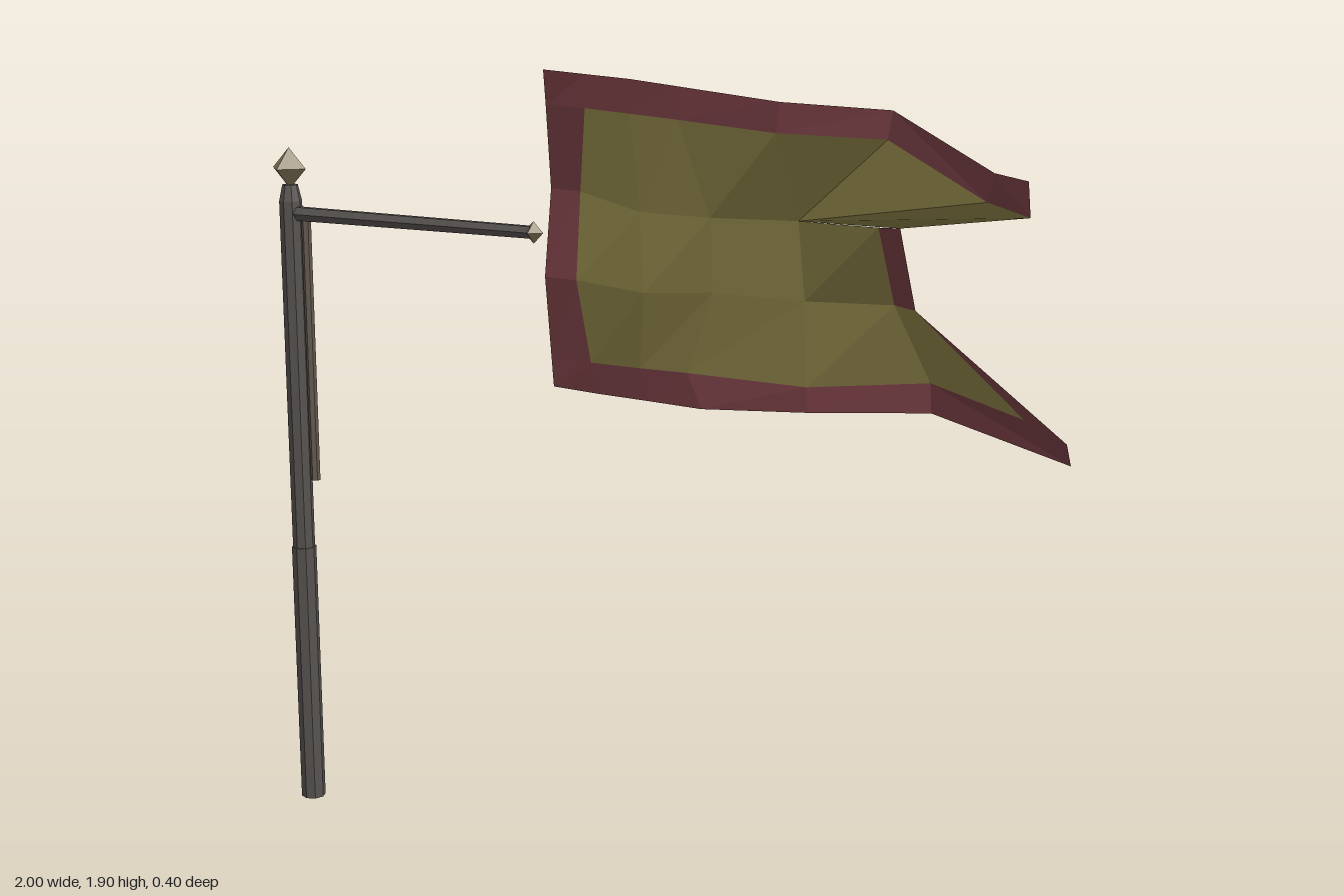
import * as THREE from 'three';

// Cloth lattice: six rows from top to bottom, six columns from pole side to fly end
const ROWS = [
  [[-0.22, 1.9, 0], [-0.1, 1.895, 0.02], [0.03, 1.89, 0.045], [0.17, 1.88, 0.072], [0.42, 1.86, 0.104], [0.66, 1.85, 0.07]],
  [[-0.22, 1.82, -0.01], [-0.1, 1.82, 0.02], [0.03, 1.815, 0.045], [0.16, 1.81, 0.072], [0.41, 1.795, 0.1], [0.65, 1.79, 0.07]],
  [[-0.22, 1.63, -0.03], [-0.13, 1.63, -0.01], [0.05, 1.6, 0.035], [0.23, 1.6, 0.045], [0.42, 1.6, 0], [0.61, 1.6, 0.01]],
  [[-0.22, 1.43, 0], [-0.13, 1.43, 0.01], [0.06, 1.42, 0.035], [0.22, 1.43, 0.01], [0.42, 1.42, -0.04], [0.61, 1.42, -0.09]],
  [[-0.22, 1.24, -0.025], [-0.11, 1.235, -0.02], [0.02, 1.235, -0.02], [0.14, 1.235, -0.025], [0.41, 1.22, -0.08], [0.66, 1.235, -0.19]],
  [[-0.22, 1.165, -0.035], [-0.1, 1.16, -0.035], [0.03, 1.157, -0.035], [0.17, 1.153, -0.035], [0.41, 1.16, -0.09], [0.66, 1.165, -0.2]],
];

// Notch corners and swallowtail tips
const NOTCH_TOP = [0.655, 1.6, 0], NOTCH_LOW = [0.655, 1.41, -0.1];
const UP_SHOULDER = [0.93, 1.75, 0.2], UP_INNER = [0.91, 1.69, 0.18];
const UP_TIP = [1, 1.738, 0.2], UP_TIP_LOW = [1, 1.665, 0.18];
const LOW_INNER = [0.9, 1.19, -0.13], LOW_TIP = [1, 1.15, -0.12], LOW_TIP_END = [1, 1.095, -0.155];

function paint(color, side = THREE.FrontSide) {
  return new THREE.MeshStandardMaterial({ color, flatShading: true, side });
}

// Faceted sheet from polygons, each fanned from its first corner
function sheet(name, polygons, material) {
  const pos = [];
  for (const p of polygons)
    for (let i = 1; i < p.length - 1; i++) pos.push(...p[0], ...p[i], ...p[i + 1]);
  const g = new THREE.BufferGeometry();
  g.setAttribute('position', new THREE.Float32BufferAttribute(pos, 3));
  g.computeVertexNormals();
  const mesh = new THREE.Mesh(g, material);
  mesh.name = name;
  return mesh;
}

function createFlag() {
  const field = [], border = [];
  for (let r = 0; r < 5; r++)
    for (let c = 0; c < 5; c++) {
      const a = ROWS[r][c], b = ROWS[r + 1][c], d = ROWS[r + 1][c + 1], e = ROWS[r][c + 1];
      if (r === 1 && c === 4) field.push([a, b, e]); // the upper tail folds out of this cell
      else (r === 0 || r === 4 || c === 0 ? border : field).push([e, a, b, d]);
    }
  const [top, innerTop, upper, lower, innerLow, bottom] = ROWS.map((row) => row[5]);
  const fold = ROWS[2][4];

  // Upper tail, with its underside folded back to the notch
  field.push([fold, UP_INNER, innerTop], [fold, NOTCH_TOP, UP_TIP_LOW, UP_INNER]);
  border.push([top, innerTop, UP_INNER, UP_SHOULDER], [UP_SHOULDER, UP_INNER, UP_TIP_LOW, UP_TIP]);
  // Lower tail
  field.push([lower, innerLow, NOTCH_LOW], [NOTCH_LOW, innerLow, LOW_INNER]);
  border.push([NOTCH_LOW, LOW_INNER, LOW_TIP], [innerLow, bottom, LOW_TIP_END, LOW_INNER], [LOW_INNER, LOW_TIP_END, LOW_TIP]);
  // Hem of the notch
  border.push([upper, lower, NOTCH_LOW, NOTCH_TOP]);

  const flag = new THREE.Group();
  flag.name = 'flag';
  flag.add(
    sheet('flagField', field, paint(0x8f8449, THREE.DoubleSide)),
    sheet('flagBorder', border, paint(0x7a4046, THREE.DoubleSide)),
  );
  return flag;
}

export function createModel() {
  const model = new THREE.Group();
  const metal = paint(0x56524f), brass = paint(0x85765a), cord = paint(0x645a50);
  const add = (name, geometry, material, x, y) => {
    const mesh = new THREE.Mesh(geometry, material);
    mesh.name = name;
    mesh.position.set(x, y, 0);
    model.add(mesh);
    return mesh;
  };

  // Pole: slightly wider lower sleeve, slim upper shaft and tapered cap
  add('poleSleeve', new THREE.CylinderGeometry(0.031, 0.031, 0.68, 8), metal, -0.95, 0.34);
  add('poleShaft', new THREE.CylinderGeometry(0.028, 0.028, 0.89, 8), metal, -0.95, 1.115);
  add('poleCap', new THREE.CylinderGeometry(0.019, 0.028, 0.04, 8), metal, -0.95, 1.58);
  add('poleFinial', new THREE.OctahedronGeometry(0.05), brass, -0.95, 1.64);

  // Horizontal arm with a pointed end
  add('arm', new THREE.CylinderGeometry(0.016, 0.019, 0.69, 6), metal, -0.595, 1.53).rotation.z = -Math.PI / 2;
  add('armFinial', new THREE.OctahedronGeometry(0.026), brass, -0.25, 1.53);

  // Cord hanging beside the pole
  add('hangingCord', new THREE.CylinderGeometry(0.012, 0.012, 0.66, 6), cord, -0.905, 1.19);

  model.add(createFlag());
  return model;
}
